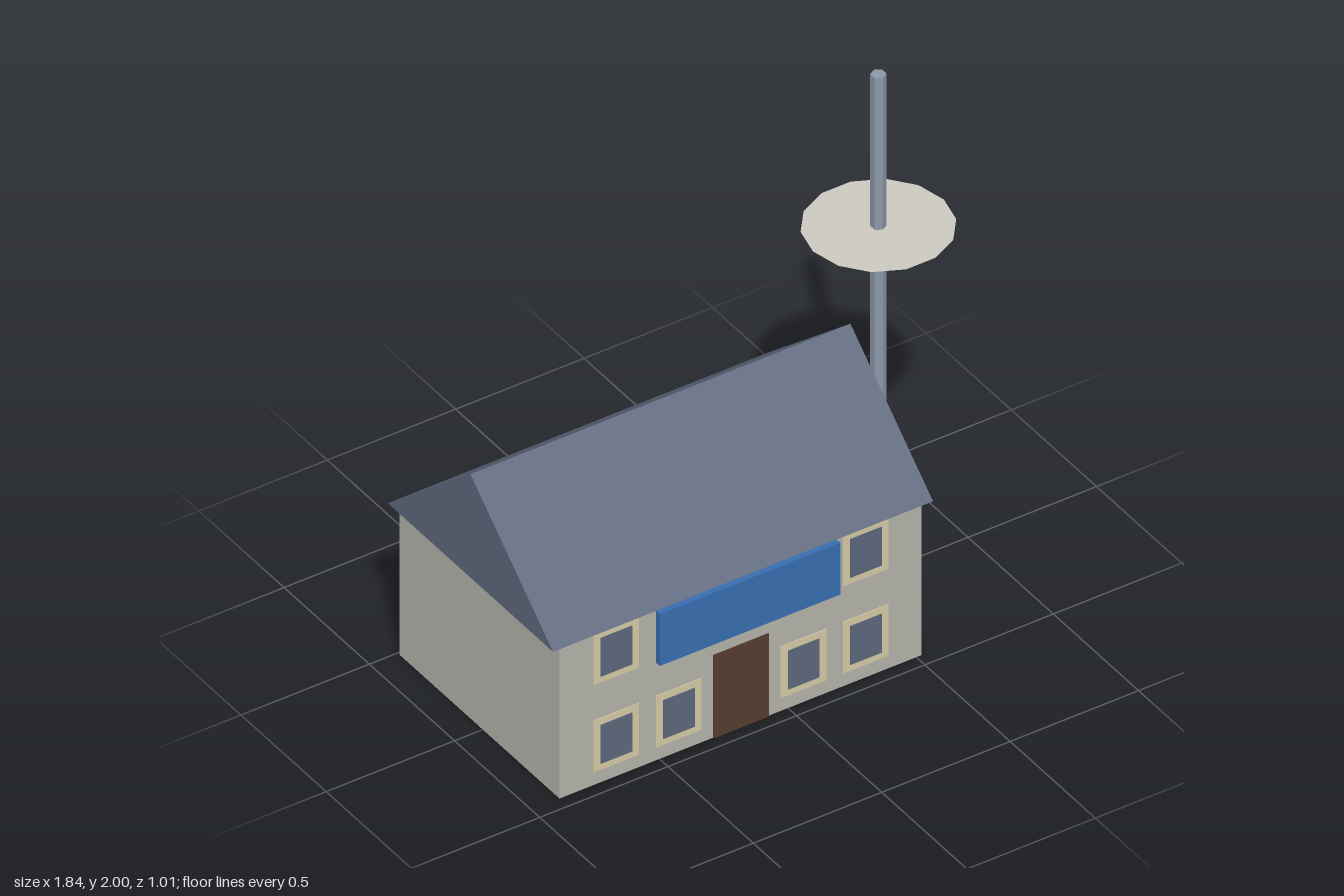
import * as THREE from 'three';

const mat = (name, color) => {
  const m = new THREE.MeshStandardMaterial({ color, flatShading: true });
  m.name = name;
  return m;
};

export function createModel() {
  const stone = mat('stone wall', 0xb2b2aa);
  const slate = mat('slate', 0x5c677b);
  const trim = mat('cream trim', 0xd4c8a4);
  const wood = mat('dark wood', 0x543c2d);
  const blue = mat('sign blue', 0x386db0);
  const steel = mat('steel', 0x8b96a7);
  const pale = mat('pale dish', 0xcbc8c0);

  const model = new THREE.Group();
  model.name = 'houseWithMast';
  const add = (name, geometry, material, x, y, z, parent = model) => {
    const mesh = new THREE.Mesh(geometry, material);
    mesh.name = name;
    mesh.position.set(x, y, z);
    parent.add(mesh);
    return mesh;
  };

  const midX = -0.185, midZ = -0.02;
  const bodyW = 1.41, bodyD = 0.94, eave = 0.617;

  // Walls
  add('walls', new THREE.BoxGeometry(bodyW, eave, bodyD), stone, midX, eave / 2, midZ);

  // Gabled roof: a solid triangular prism running along x
  const gable = new THREE.Shape();
  gable.moveTo(-0.485, 0);
  gable.lineTo(0.485, 0);
  gable.lineTo(0, 0.418);
  gable.closePath();
  const roofL = 1.48;
  const roofGeo = new THREE.ExtrudeGeometry(gable, { depth: roofL, bevelEnabled: false });
  roofGeo.translate(0, 0, -roofL / 2).rotateY(Math.PI / 2);
  add('roof', roofGeo, slate, midX, eave, midZ);

  // Window: trim plate with a slightly prouder pane
  const trimGeo = new THREE.BoxGeometry(0.178, 0.208, 0.006);
  const paneGeo = new THREE.BoxGeometry(0.122, 0.156, 0.008);
  const addWindow = (x, y, z, turn) => {
    const win = new THREE.Group();
    win.name = 'window';
    add('windowTrim', trimGeo, trim, 0, 0, 0, win);
    add('windowPane', paneGeo, slate, 0, 0, 0.002, win);
    win.position.set(x, y, z);
    win.rotation.y = turn;
    model.add(win);
  };
  const rows = [0.157, 0.509];
  const frontZ = midZ + bodyD / 2, sideX = midX + bodyW / 2;
  rows.forEach((y, row) => {
    for (let i = -2; i <= 2; i++) {
      if (row === 0 && i === 0) continue; // the door stands here
      addWindow(midX + i * 0.243, y, frontZ, 0);
    }
    for (let i = -1; i <= 1; i++) addWindow(sideX, y, midZ + i * 0.27, Math.PI / 2);
  });

  // Door and the sign board hung in front of the upper floor
  add('door', new THREE.BoxGeometry(0.215, 0.335, 0.009), wood, midX, 0.1675, frontZ);
  add('signBoard', new THREE.BoxGeometry(0.703, 0.21, 0.022), blue, midX, 0.53, 0.495);

  // Hexagonal mast
  const mastX = 0.664;
  add('mast', new THREE.CylinderGeometry(0.027, 0.027, 2, 6), steel, mastX, 1, midZ);

  // Shallow fourteen-sided dish with a closed flat top
  const dishProfile = [[0, 0], [0.13, 0.03], [0.255, 0.107], [0, 0.107]]
    .map(([r, y]) => new THREE.Vector2(r, y));
  add('dish', new THREE.LatheGeometry(dishProfile, 14, Math.PI / 2), pale, mastX, 1.28, midZ);

  return model;
}
